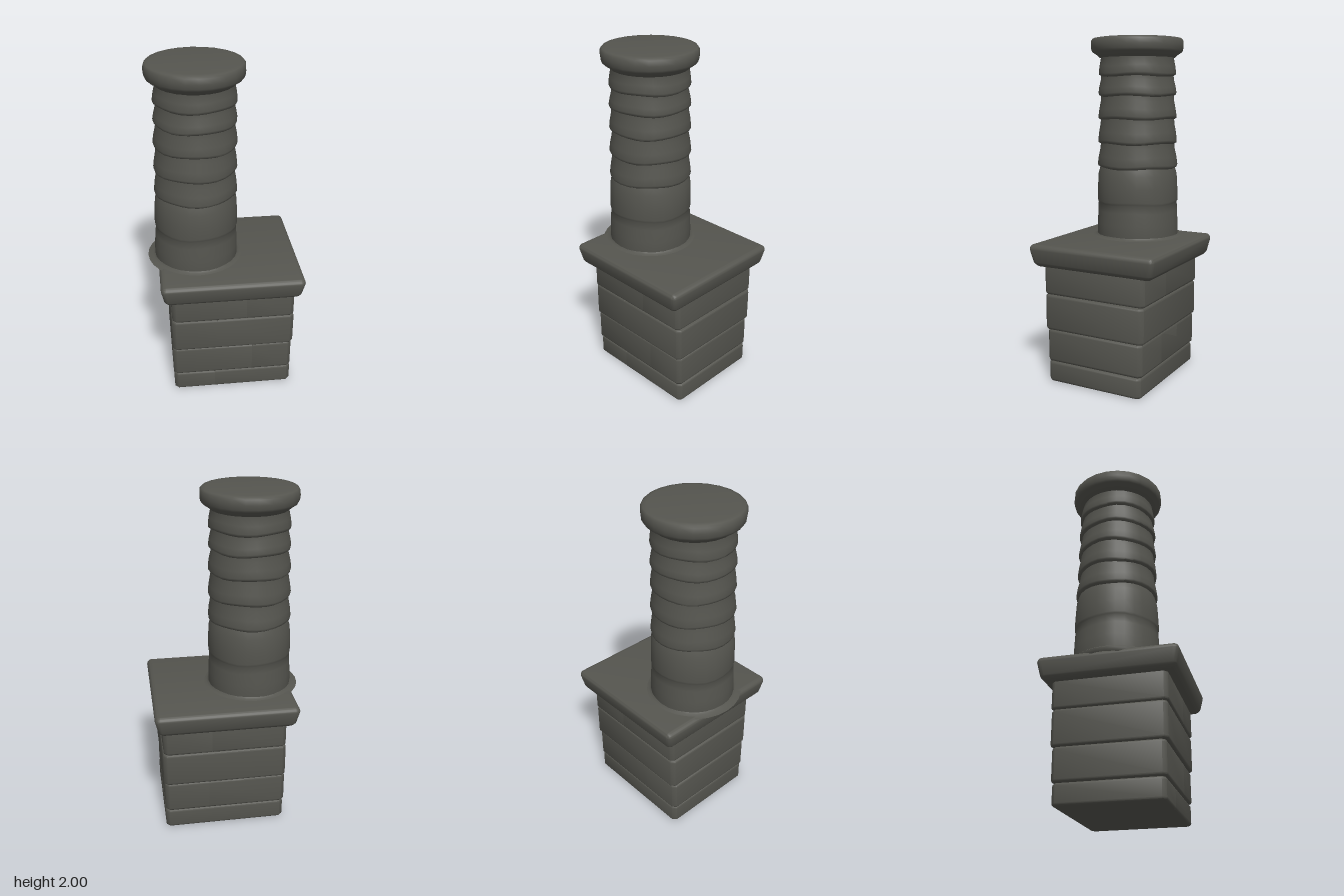
import * as THREE from 'three';
import { toCreasedNormals } from 'three/addons/utils/BufferGeometryUtils.js';
import { RoundedBoxGeometry } from 'three/addons/geometries/RoundedBoxGeometry.js';

const stone = new THREE.MeshStandardMaterial({ color: 0x55554f });
stone.name = 'dark stone';

function add(group, name, geometry) {
  const mesh = new THREE.Mesh(geometry, stone);
  mesh.name = name;
  group.add(mesh);
  return mesh;
}

// One brick course: a plan outline with notched joints, extruded upward with a soft bevel.
function courseGeometry({ y0, y1, x0, x1, z, front, back }) {
  const bevel = 0.016, c = 0.012, notch = 0.02, gap = 0.011;
  const l = x0 + bevel, r = x1 - bevel, d = z - bevel;
  const pts = [[l, -d + c], [l + c, -d]];
  // plan y is -z, so the front wall lies at -d
  for (const j of front) pts.push([j - gap, -d], [j - gap * 0.4, -d + notch], [j + gap * 0.4, -d + notch], [j + gap, -d]);
  pts.push([r - c, -d], [r, -d + c], [r, d - c], [r - c, d]);
  for (const j of back) pts.push([j + gap, d], [j + gap * 0.4, d - notch], [j - gap * 0.4, d - notch], [j - gap, d]);
  pts.push([l + c, d], [l, d - c]);
  const shape = new THREE.Shape(pts.map(([x, y]) => new THREE.Vector2(x, y)));
  const g = new THREE.ExtrudeGeometry(shape, {
    depth: y1 - y0 - 2 * bevel, bevelEnabled: true,
    bevelThickness: bevel, bevelSize: bevel, bevelSegments: 3,
  });
  g.rotateX(-Math.PI / 2);
  g.translate(0, y0 + bevel, 0);
  return toCreasedNormals(g, 0.8);
}

// Square slab with soft edges, narrowing toward its underside.
function slabGeometry() {
  const g = new RoundedBoxGeometry(0.83, 0.135, 0.8, 4, 0.03);
  const p = g.attributes.position;
  for (let i = 0; i < p.count; i++) {
    const k = 1 - 0.07 * Math.max(0, -p.getY(i) / 0.0675);
    p.setX(i, p.getX(i) * k);
    p.setZ(i, p.getZ(i) * k);
  }
  return toCreasedNormals(g, 0.7);
}

// Round flue: overlapping rings that flare to a lip at the bottom.
function flueGeometry() {
  const lips = [0.8, 1.02, 1.235, 1.38, 1.525, 1.66, 1.775, 1.91];
  const profile = [];
  for (let i = 0; i < lips.length - 1; i++) {
    const a = lips[i], h = lips[i + 1] - a;
    const r = 0.248 - 0.016 * (a - 0.8);
    const dip = i < 2 ? 0.006 : 0.015;
    profile.push([r - dip, a], [r - 0.002, a + 0.008], [r, a + 0.02],
      [r - dip * 0.35, a + h * 0.45], [r - dip, a + h * 0.8]);
  }
  profile.push([0.222, 1.91]);
  const g = new THREE.LatheGeometry(profile.map(([r, y]) => new THREE.Vector2(r, y)), 28);
  const p = g.attributes.position;
  for (let i = 0; i < p.count; i++) {
    const x = p.getX(i), y = p.getY(i), z = p.getZ(i), a = Math.atan2(z, x);
    // uneven hand-laid surface; whole-number frequencies keep the seam closed
    const k = 1 + 0.007 * Math.sin(5 * a + y * 17) * Math.sin(3 * a - y * 11);
    p.setXYZ(i, x * k - 0.01 * (1.95 - y), y + 0.004 * Math.sin(4 * a + y * 9), z * k);
  }
  return toCreasedNormals(g, 0.9);
}

export function createModel() {
  const model = new THREE.Group();
  model.name = 'chimney';

  // Brick base with a recessed mortar core
  const base = new THREE.Group();
  base.name = 'brickBase';
  model.add(base);
  const courses = [
    { y0: 0, y1: 0.122, x0: -0.338, x1: 0.383, z: 0.303, front: [-0.09], back: [] },
    { y0: 0.122, y1: 0.314, x0: -0.343, x1: 0.382, z: 0.309, front: [0.14], back: [-0.09, 0.12] },
    { y0: 0.314, y1: 0.524, x0: -0.343, x1: 0.388, z: 0.32, front: [-0.075], back: [] },
    { y0: 0.524, y1: 0.7, x0: -0.34, x1: 0.384, z: 0.325, front: [0.1], back: [0.1] },
  ];
  courses.forEach((c, i) => add(base, 'brickCourse' + (i + 1), courseGeometry(c)));
  const core = add(base, 'mortarCore', new THREE.BoxGeometry(0.67, 0.67, 0.56));
  core.position.set(0.022, 0.345, 0);

  // Capping slab
  add(model, 'slab', slabGeometry()).position.set(0.015, 0.752, 0);

  // Flue with its flat round cap
  const flue = new THREE.Group();
  flue.name = 'flue';
  flue.position.x = -0.158;
  model.add(flue);
  add(flue, 'flueRings', flueGeometry());
  const capProfile = [[0, 1.885], [0.224, 1.885], [0.24, 1.9], [0.266, 1.917], [0.273, 1.93],
    [0.276, 1.955], [0.274, 1.985], [0.265, 1.996], [0.24, 2], [0, 2]];
  const cap = new THREE.LatheGeometry(capProfile.map(([r, y]) => new THREE.Vector2(r, y)), 24);
  add(flue, 'flueCap', toCreasedNormals(cap, 0.9));

  // Soft mortar skirt where the flue meets the slab
  const skirt = [[0.3, 0.815], [0.268, 0.822], [0.25, 0.835], [0.242, 0.855]];
  add(flue, 'mortarSkirt', new THREE.LatheGeometry(skirt.map(([r, y]) => new THREE.Vector2(r * 0.97, y)), 28))
    .position.x = -0.01;
  return model;
}
